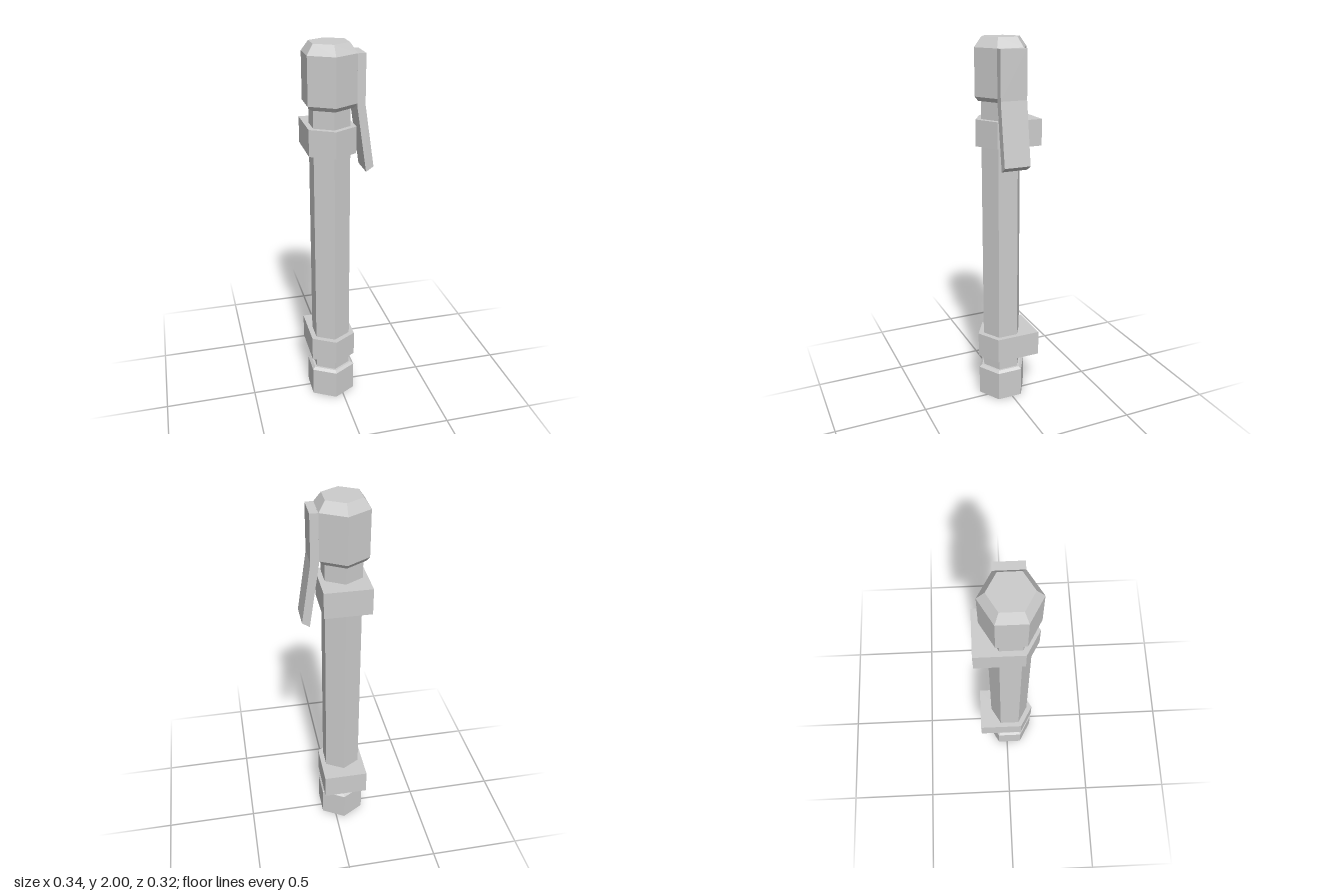
import * as THREE from 'three';

const CX = -0.046, CZ = 0.016; // axis of the hexagonal barrel

export function createModel() {
  const group = new THREE.Group();
  const material = new THREE.MeshStandardMaterial({ color: 0xcccccc, flatShading: true });

  const add = (name, geometry) => {
    const mesh = new THREE.Mesh(geometry, material);
    mesh.name = name;
    group.add(mesh);
    return mesh;
  };

  // Six-sided solid from [radius, height] pairs, with points facing front and back
  const hexSolid = (name, profile) => {
    const points = profile.map(([r, y]) => new THREE.Vector2(r, y));
    add(name, new THREE.LatheGeometry(points, 6)).position.set(CX, 0, CZ);
  };

  const extrude = (points, depth) => new THREE.ExtrudeGeometry(
    new THREE.Shape(points.map(([x, y]) => new THREE.Vector2(x, y))),
    { depth, bevelEnabled: false });

  hexSolid('barrel', [[0, 0.16], [0.109, 0.16], [0.109, 1.72], [0, 1.72]]);
  hexSolid('endKnob', [[0, 0], [0.138, 0], [0.138, 0.165], [0.122, 0.178], [0, 0.178]]);
  hexSolid('cap', [[0, 1.688], [0.124, 1.688], [0.142, 1.71], [0.142, 1.95], [0.104, 2], [0, 2]]);

  // Mounting collars: pointed at the front, square at the back
  const collar = [[-0.121, -0.07], [0, -0.141], [0.121, -0.07], [0.121, 0.177], [-0.121, 0.177]];
  for (const [name, y] of [['lowerCollar', 0.242], ['upperCollar', 1.457]]) {
    const geometry = extrude(collar, 0.138).rotateX(-Math.PI / 2); // outline now lies flat
    add(name, geometry).position.set(CX, y, CZ);
  }

  // Side clip, bent outward below the cap
  const clip = [[0.077, 1.95], [0.077, 1.698], [0.128, 1.352], [0.167, 1.378], [0.119, 1.702], [0.119, 1.95]];
  add('clip', extrude(clip, 0.142)).position.z = CZ - 0.071;

  return group;
}
